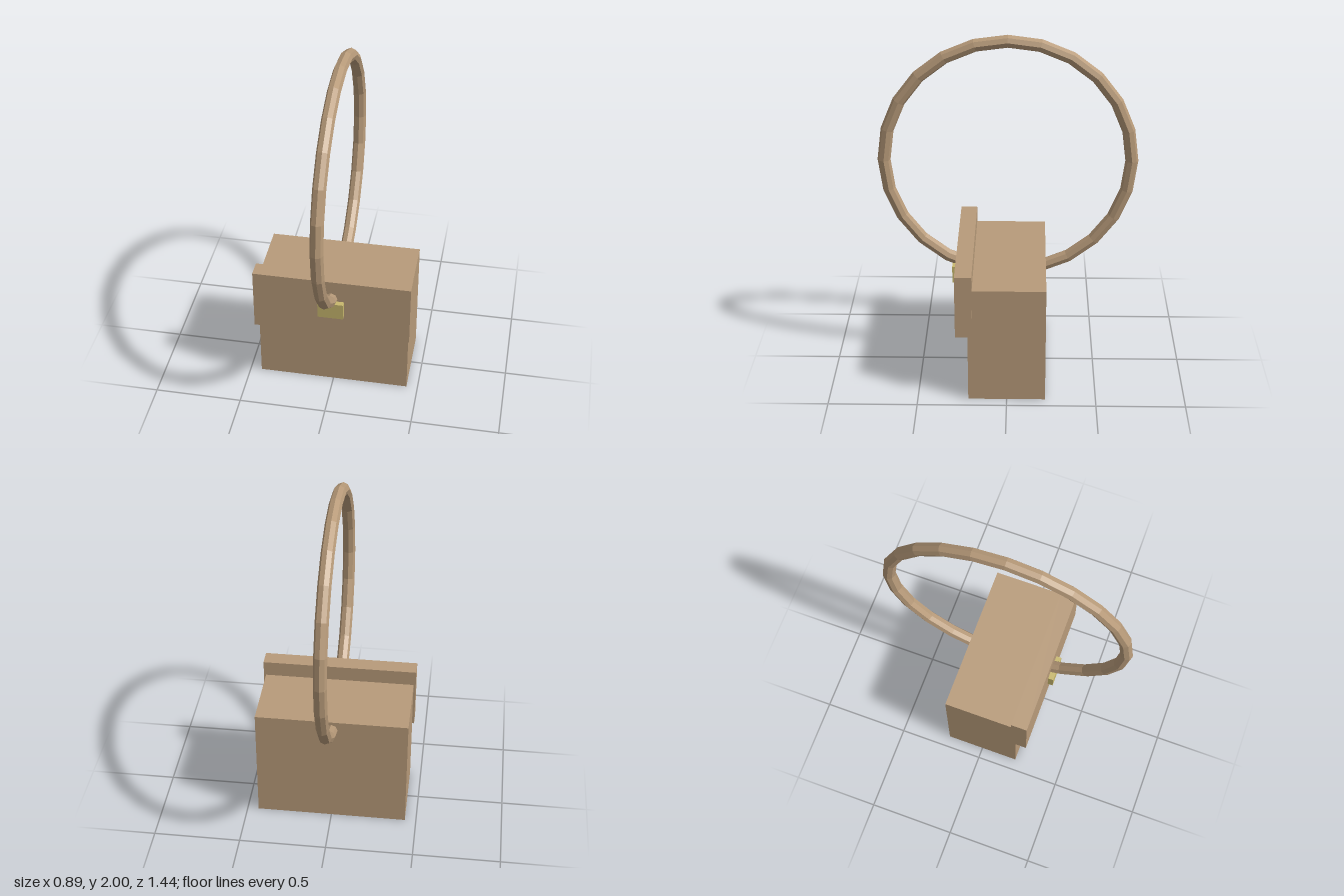
import * as THREE from 'three';

export function createModel() {
  const bag = new THREE.Group();
  bag.name = 'handbag';

  const leather = new THREE.MeshStandardMaterial({ color: 0xb89b7a, flatShading: true });
  leather.name = 'tan leather';
  const brass = new THREE.MeshStandardMaterial({ color: 0xc8b86e, flatShading: true });
  brass.name = 'pale brass';

  const add = (name, geometry, material, y, z) => {
    const mesh = new THREE.Mesh(geometry, material);
    mesh.name = name;
    mesh.position.set(0, y, z);
    bag.add(mesh);
    return mesh;
  };

  // Main compartment, with the front flap standing a little above it
  add('body', new THREE.BoxGeometry(0.87, 0.69, 0.432), leather, 0.345, 0);
  add('flap', new THREE.BoxGeometry(0.895, 0.373, 0.094), leather, 0.593, 0.237);

  // Clasp on the flap
  add('clasp', new THREE.BoxGeometry(0.146, 0.1, 0.07), brass, 0.597, 0.28);

  // Hoop handle running front to back, its lower arc sunk in the body
  const handle = add('handle', new THREE.TorusGeometry(0.684, 0.036, 8, 24), leather, 1.28, 0);
  handle.rotation.y = Math.PI / 2;

  return bag;
}
